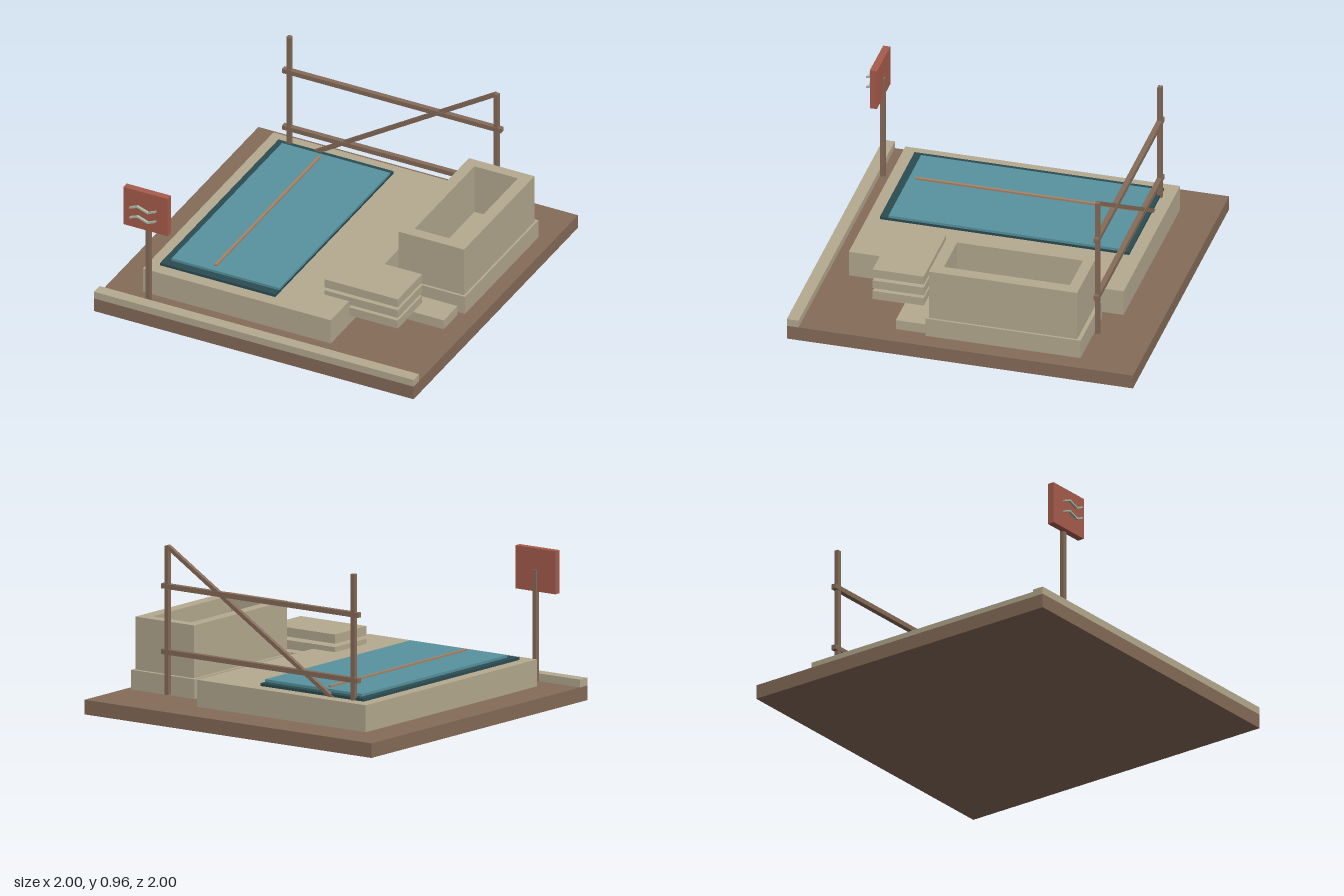
import * as THREE from 'three';

const mat = (name, color) => {
  const m = new THREE.MeshStandardMaterial({ color });
  m.name = name;
  return m;
};

export function createModel() {
  const model = new THREE.Group();
  model.name = 'poolYard';
  const brown = mat('brown wood', 0x866c59);
  const stone = mat('tan stone', 0xb5aa90);
  const teal = mat('teal cover', 0x57939f);
  const dark = mat('dark teal', 0x2b4d52);
  const rust = mat('rust red', 0xa85c4c);
  const rodTan = mat('light wood', 0xa88468);
  const pale = mat('pale green', 0xa9bba8);

  const add = (name, geometry, material) => {
    const mesh = new THREE.Mesh(geometry, material);
    mesh.name = name;
    model.add(mesh);
    return mesh;
  };
  // Box given by its extents on each axis
  const box = (name, material, [x0, x1], [y0, y1], [z0, z1]) => {
    const mesh = add(name, new THREE.BoxGeometry(x1 - x0, y1 - y0, z1 - z0), material);
    mesh.position.set((x0 + x1) / 2, (y0 + y1) / 2, (z0 + z1) / 2);
    return mesh;
  };

  // Ground and kerb
  box('ground', brown, [-1, 1], [0, 0.083], [-1, 1]);
  box('kerb', stone, [-1, 1], [0.083, 0.127], [0.932, 1]);

  // Raised terrace with the covered basin
  box('terrace', stone, [-0.79, 0.385], [0.083, 0.236], [-0.775, 0.813]);
  box('basinRim', dark, [-0.72, 0], [0.236, 0.252], [-0.7, 0.74]);
  box('basinCover', teal, [-0.675, 0], [0.252, 0.267], [-0.655, 0.69]);
  box('coverRod', rodTan, [-0.428, -0.412], [0.262, 0.278], [-0.615, 0.65]);

  // Stone trough: plinth and hollow tub
  box('troughPlinth', stone, [0.478, 0.92], [0.098, 0.21], [-0.675, 0.22]);
  const rect = (S, x0, x1, z0, z1) => new S([
    new THREE.Vector2(x0, -z1), new THREE.Vector2(x1, -z1),
    new THREE.Vector2(x1, -z0), new THREE.Vector2(x0, -z0),
  ]);
  const rim = rect(THREE.Shape, 0.497, 0.907, -0.652, 0.205);
  rim.holes.push(rect(THREE.Path, 0.563, 0.835, -0.59, 0.137));
  const tub = add('troughWalls', new THREE.ExtrudeGeometry(rim, { depth: 0.302, bevelEnabled: false }), stone);
  tub.rotation.x = -Math.PI / 2;
  tub.position.y = 0.208;

  // Stacked slabs and low step
  [[0.144, 0.196], [0.214, 0.264], [0.284, 0.336]].forEach((y, i) =>
    box('stackSlab' + (i + 1), stone, [0.23, 0.69], y, [0.295, 0.59]));
  box('lowStep', stone, [0.522, 0.882], [0.09, 0.148], [0.235, 0.403]);

  // Timber frame at the back
  const frameZ = [-0.711, -0.685];
  for (const x of [-0.65, 0.647])
    box('framePost', brown, [x - 0.013, x + 0.013], [0.107, 0.953], frameZ);
  for (const y of [0.35, 0.723])
    box('frameRail', brown, [-0.688, 0.682], [y - 0.014, y + 0.014], [-0.713, -0.683]);
  const a = new THREE.Vector2(-0.62, 0.157), b = new THREE.Vector2(0.645, 0.95);
  const brace = add('frameBrace', new THREE.BoxGeometry(a.distanceTo(b), 0.023, 0.023), brown);
  brace.position.set((a.x + b.x) / 2, (a.y + b.y) / 2, -0.698);
  brace.rotation.z = Math.atan2(b.y - a.y, b.x - a.x);

  // Sign with two floating wave strips
  box('signPost', brown, [-0.714, -0.688], [0.083, 0.718], [0.904, 0.93]);
  box('signBoard', rust, [-0.84, -0.562], [0.595, 0.84], [0.914, 0.955]);
  const wave = [[-0.785, 0.738], [-0.735, 0.758], [-0.67, 0.735], [-0.62, 0.757]];
  const t = 0.005;
  const strip = new THREE.Shape([
    ...wave.map(([x, y]) => new THREE.Vector2(x, y - t)),
    ...wave.slice().reverse().map(([x, y]) => new THREE.Vector2(x, y + t)),
  ]);
  for (const dy of [0, -0.065]) {
    const mesh = add('signWave', new THREE.ExtrudeGeometry(strip, { depth: 0.015, bevelEnabled: false }), pale);
    mesh.position.set(0, dy, 0.978);
  }
  return model;
}
